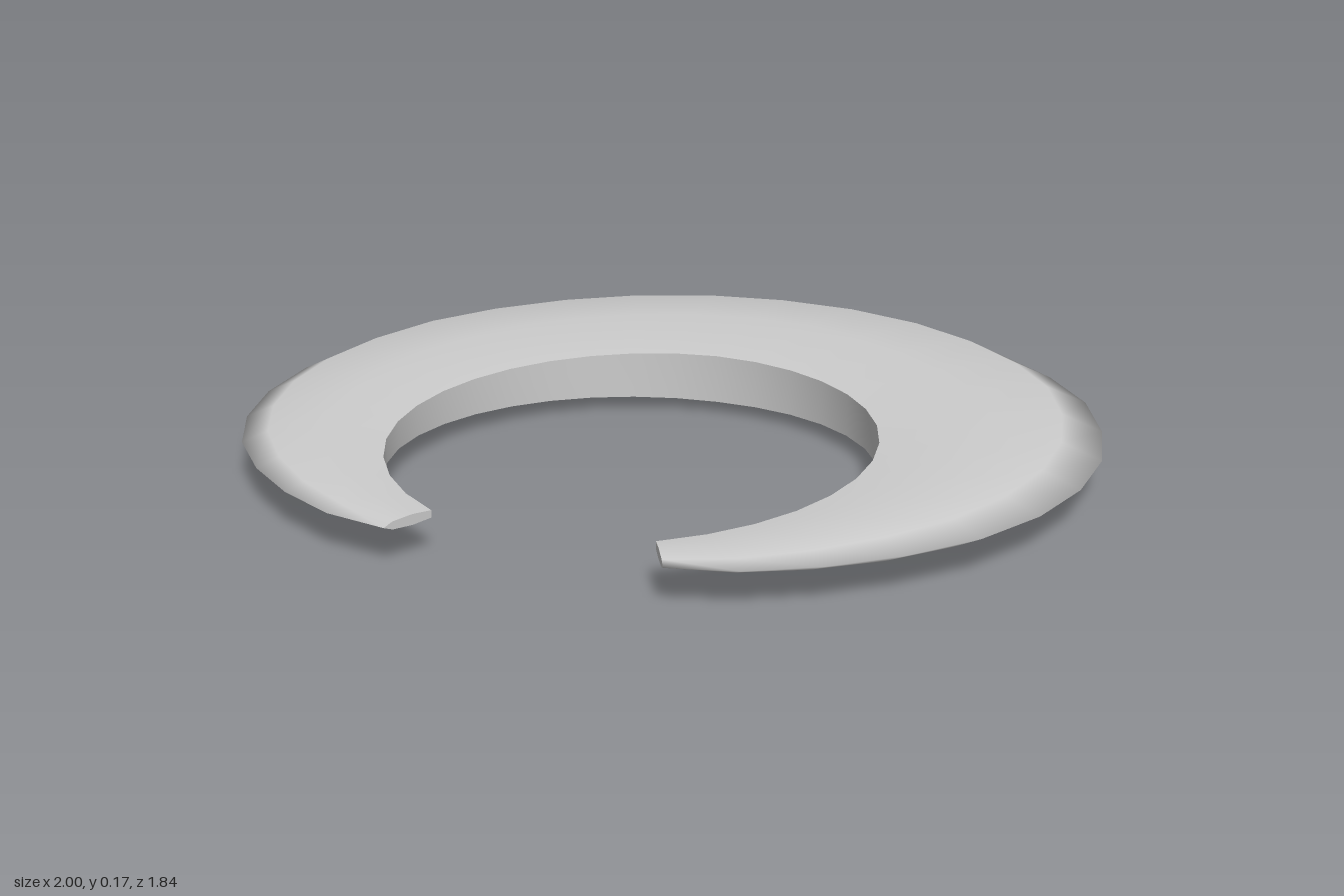
import * as THREE from 'three';

// Outer rim from the middle of the back round to one tip (x, z)
const RIM = [
  [0, -0.92], [0.22, -0.9], [0.43, -0.83], [0.61, -0.72], [0.77, -0.57],
  [0.89, -0.4], [0.965, -0.2], [1, 0], [0.99, 0.2], [0.94, 0.385],
  [0.855, 0.55], [0.735, 0.69], [0.6, 0.8], [0.455, 0.88], [0.305, 0.915],
];
// Cross-section: fraction of the way from inner to outer rim, fraction of half height
const SECTION = [[0, 0.68], [0.4, 1], [0.815, 0.735], [1, 0], [0.815, -0.735], [0.4, -1], [0, -0.68]];
const HALF = RIM.length - 1;
const MID_Y = 0.087;

// Point of the crescent at station i (-HALF..HALF) for a section point
function crescentPoint(i, [u, v]) {
  const n = Math.abs(i), side = Math.sign(i), t = n / HALF;
  const angle = THREE.MathUtils.degToRad(153 * t);
  const innerX = 0.55 * Math.sin(angle), innerZ = 0.3 - 0.57 * Math.cos(angle);
  const halfHeight = 0.012 + 0.075 * (1 - Math.pow(t, 1.5));
  return [
    side * THREE.MathUtils.lerp(innerX, RIM[n][0], u),
    MID_Y + v * halfHeight,
    THREE.MathUtils.lerp(innerZ, RIM[n][1], u),
  ];
}

function makeGeometry(positions, index) {
  const g = new THREE.BufferGeometry();
  g.setAttribute('position', new THREE.Float32BufferAttribute(positions, 3));
  g.setIndex(index);
  g.computeVertexNormals();
  return g;
}

// Sweep an open run of section points along the whole crescent
function sweep(section) {
  const positions = [], index = [], m = section.length;
  for (let i = -HALF; i <= HALF; i++) {
    for (const p of section) positions.push(...crescentPoint(i, p));
  }
  for (let i = 0; i < HALF * 2; i++) {
    for (let j = 0; j < m - 1; j++) {
      const a = i * m + j, b = a + m;
      index.push(a, b, a + 1, b, b + 1, a + 1);
    }
  }
  return makeGeometry(positions, index);
}

// Flat cap closing one tip
function cap(i) {
  const positions = SECTION.flatMap((p) => crescentPoint(i, p));
  const index = [];
  for (let j = 1; j < SECTION.length - 1; j++) {
    if (i < 0) index.push(0, j, j + 1);
    else index.push(0, j + 1, j);
  }
  return makeGeometry(positions, index);
}

export function createModel() {
  const group = new THREE.Group();
  group.name = 'crescentRing';
  const material = new THREE.MeshStandardMaterial({ color: 0xcccccc });
  const add = (name, geometry) => {
    const mesh = new THREE.Mesh(geometry, material);
    mesh.name = name;
    group.add(mesh);
  };

  // Smooth top, rim and underside
  add('outerShell', sweep(SECTION));
  // Upright inner wall, with a sharp edge to the shell
  add('innerWall', sweep([SECTION[SECTION.length - 1], SECTION[0]]));
  // Blunt tips
  add('rightTip', cap(-HALF));
  add('leftTip', cap(HALF));
  return group;
}
